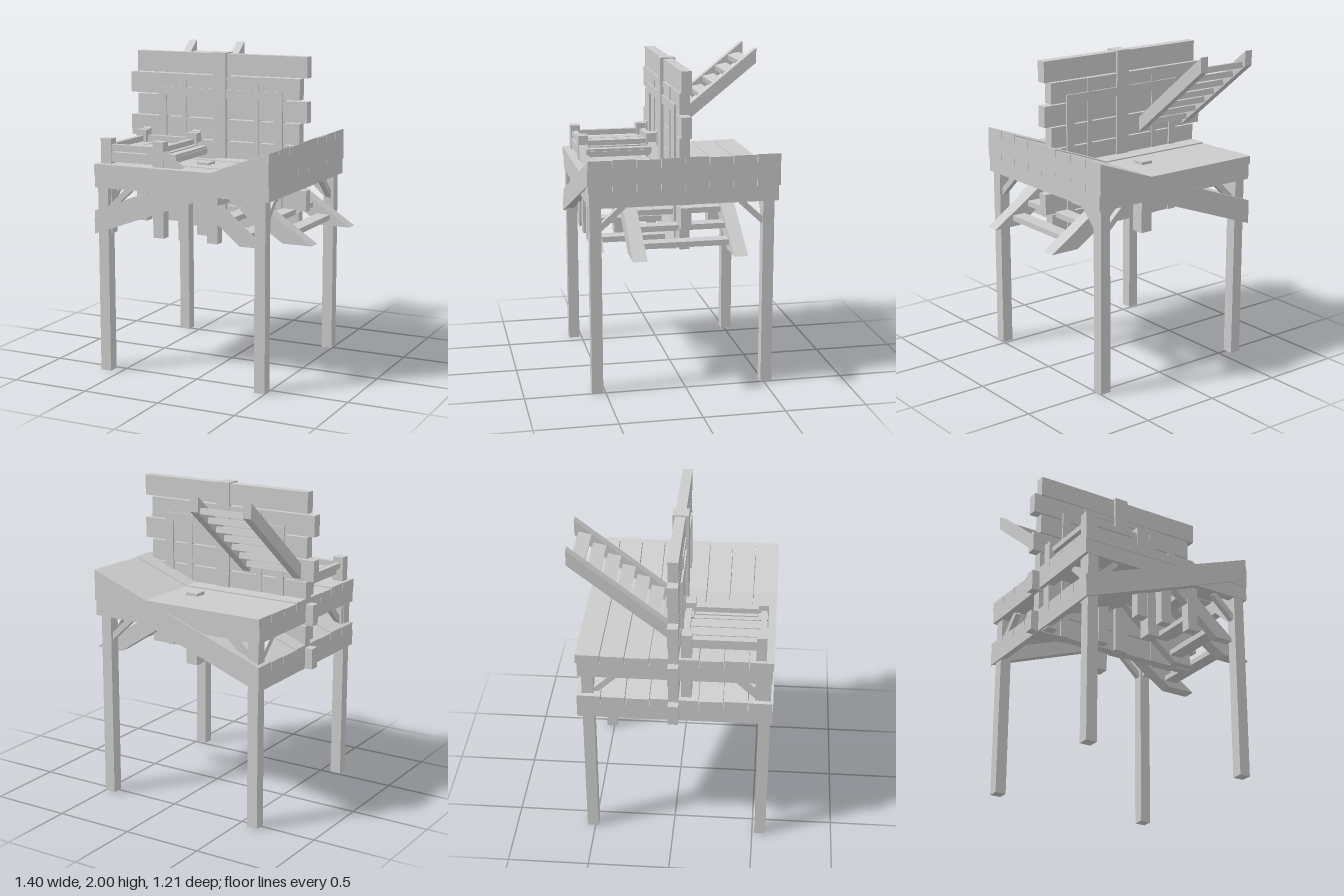
import * as THREE from 'three';

const material = new THREE.MeshStandardMaterial({ color: 0xcccccc, side: THREE.DoubleSide });

export function createModel() {
  const model = new THREE.Group();

  // Box given by its extents; slant moves each vertex to shear the timber.
  function beam(name, [x0, x1], [y0, y1], [z0, z1], slant) {
    const geometry = new THREE.BoxGeometry(x1 - x0, y1 - y0, z1 - z0);
    geometry.translate((x0 + x1) / 2, (y0 + y1) / 2, (z0 + z1) / 2);
    if (slant) {
      const p = geometry.attributes.position;
      const v = new THREE.Vector3();
      for (let i = 0; i < p.count; i++) {
        slant(v.fromBufferAttribute(p, i));
        p.setXYZ(i, v.x, v.y, v.z);
      }
      geometry.computeVertexNormals();
    }
    const mesh = new THREE.Mesh(geometry, material);
    mesh.name = name;
    model.add(mesh);
    return mesh;
  }
  const around = (c, w) => [c - w / 2, c + w / 2];

  // Four tall legs with small diagonal braces
  for (const x of [-0.6, 0.465]) {
    for (const z of [0.55, -0.515]) {
      beam('leg', around(x, 0.07), [0, 1.26], around(z, 0.07));
      const sx = x < 0 ? 1 : -1, sz = z < 0 ? 1 : -1;
      const braceX = beam('cornerBrace', [-0.1, 0.1], [-0.018, 0.018], [-0.018, 0.018]);
      braceX.position.set(x + sx * 0.1, 1.1, z);
      braceX.rotation.z = sx * 0.75;
      const braceZ = beam('cornerBrace', [-0.018, 0.018], [-0.018, 0.018], [-0.1, 0.1]);
      braceZ.position.set(x, 1.1, z + sz * 0.1);
      braceZ.rotation.x = -sz * 0.75;
    }
  }

  // A framed deck of eight boards
  function deck(name, top, out, slant) {
    for (let i = 0; i < 8; i++) {
      const z = -0.58 + i * 0.1475;
      const lift = (i % 3) * 0.003;
      beam(name + 'Board', [-0.655, 0.525], [top - 0.055 - lift, top - lift], [z, z + 0.143], slant);
    }
    const y = [top - 0.15, top - 0.055];
    for (const z of [0.56 + out, -0.54 - out]) beam(name + 'SideBeam', [-0.655, 0.525], y, around(z, 0.06), slant);
    for (const x of [-0.625, 0.495]) beam(name + 'EndBeam', around(x, 0.06), y, [-0.57, 0.59], slant);
  }
  deck('levelDeck', 1.32, 0);
  deck('slopedDeck', 1.268, 0.01, v => { v.y += 0.366 * v.x; });

  // Wall of staggered planks with a central post
  for (let i = 0; i < 8; i++) {
    const shift = i % 2 ? 0 : -0.05;
    const y = 0.88 + i * 0.1375;
    beam('wallPlank', [-0.655 + shift, 0.525 + shift], [y, y + 0.13], [-0.028, 0.035]);
  }
  beam('wallPost', around(-0.065, 0.092), [0.88, 1.98], [-0.042, 0.055]);

  // Two narrow frames set into the wall
  function wallFrame(left, right, top, w, depth) {
    for (const x of [left, right]) beam('framePost', around(x, w), [0.88, top], around(0.004, depth));
    beam('frameRail', [left - w / 2, right + w / 2], [top - w, top], around(0.004, depth));
  }
  wallFrame(-0.473, 0.337, 1.75, 0.055, 0.085);
  wallFrame(-0.322, 0.185, 1.835, 0.035, 0.075);

  // Ladder leaning away behind the wall
  const lean = v => { v.y -= 0.8 * (v.z + 0.61); };
  for (const x of [-0.59, -0.232]) beam('rearLadderRail', around(x, 0.054), [1.905, 2], [-0.61, 0.045], lean);
  for (let i = 0; i < 7; i++) {
    const z = -0.55 + i * 0.086;
    const rung = beam('rearLadderRung', [-0.565, -0.255], [-0.018, 0.018], [-0.04, 0.04]);
    rung.position.set(0, 1.952 - 0.8 * (z + 0.61), z);
    rung.rotation.x = 0.2;
  }

  // Ladder descending towards +x, with rails cut level at both ends
  function descendingLadder(name, foot, top, run, w, zs, railDepth, rungs) {
    for (const z of zs) {
      beam(name + 'Rail', around(foot, w), [0.88, top], around(z, railDepth), v => { v.x -= run * (v.y - 0.88); });
    }
    for (let i = 0; i < rungs; i++) {
      const y = 0.935 + i * (top - 0.97) / (rungs - 1);
      beam(name + 'Rung', around(foot - run * (y - 0.88), 0.09), around(y, 0.034), zs);
    }
  }
  descendingLadder('wideLadder', 0.605, 1.27, 1.52, 0.19, [-0.295, 0.315], 0.085, 5);
  descendingLadder('narrowLadder', 0.385, 1.42, 1.22, 0.14, [0.075, 0.52], 0.055, 6);

  // Posts carrying the wide ladder, reaching through the deck
  for (const z of [-0.29, 0.317]) beam('ladderPost', around(-0.025, 0.08), [0.88, 1.335], around(z, 0.085));

  // Slatted bench with four corner posts and rails
  for (const x of [-0.595, -0.232]) {
    for (const z of [0.08, 0.52]) beam('benchPost', around(x, 0.072), [0.88, 1.472], around(z, 0.062));
    beam('benchEndRail', around(x, 0.034), [1.4, 1.435], [0.08, 0.52]);
  }
  for (const z of [0.072, 0.524]) {
    beam('benchUpperRail', [-0.595, -0.232], [1.4, 1.437], around(z, 0.036));
    beam('benchLowerRail', [-0.595, -0.232], [1.33, 1.39], around(z, 0.045));
  }
  for (let i = 0; i < 5; i++) beam('benchSlat', around(-0.545 + i * 0.0925, 0.085), [1.36, 1.395], [0.09, 0.51]);
  beam('benchStep', around(-0.17, 0.085), [1.345, 1.38], [0.09, 0.51]);

  // Short posts hanging below the front edge
  for (const x of [-0.06, 0.135]) beam('hangingPost', around(x, 0.07), [0.88, 1.2], around(0.52, 0.062));

  return model;
}
